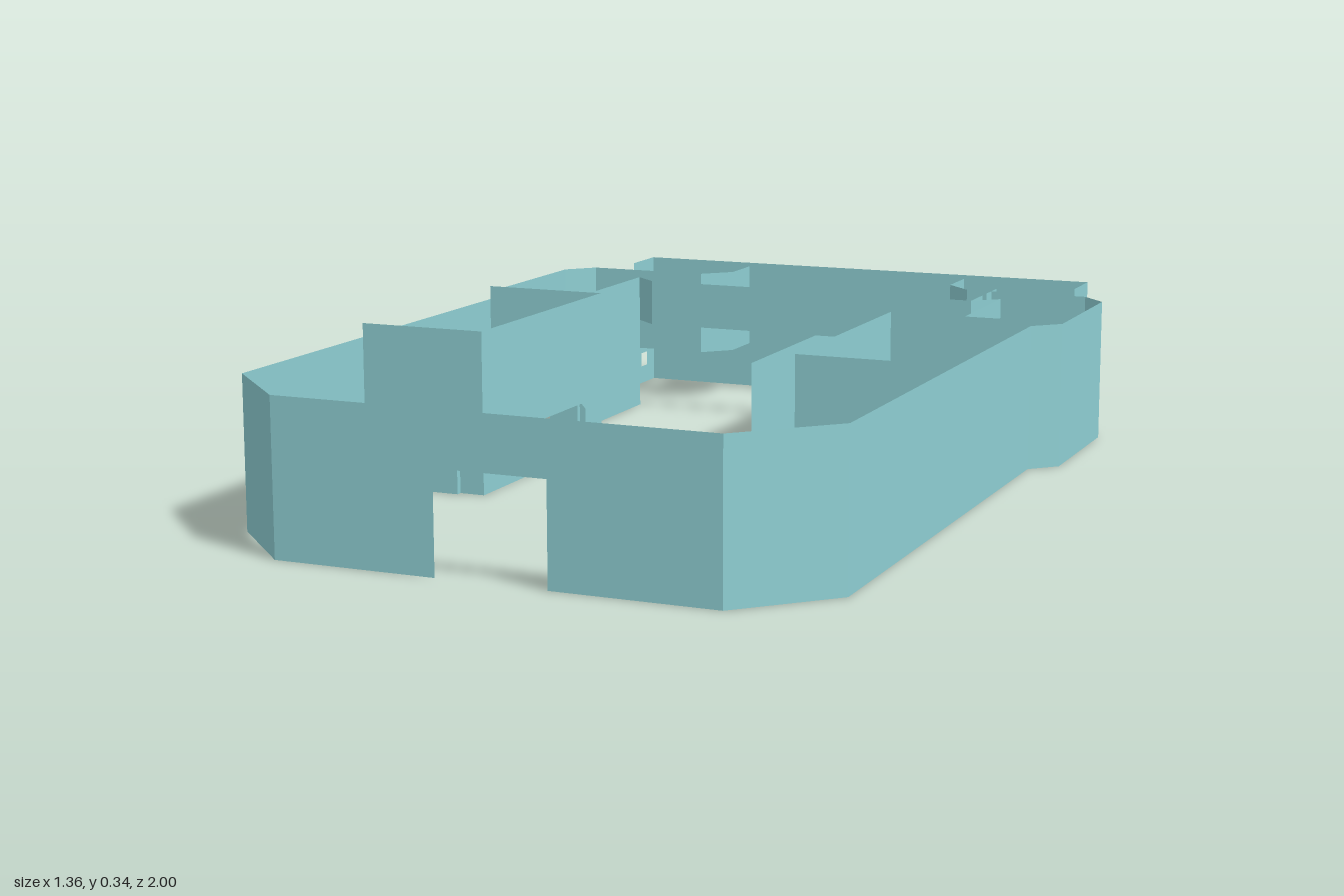
import * as THREE from 'three';

const H = 0.315; // wall height
const material = new THREE.MeshStandardMaterial({ color: 0x8fd0d4, side: THREE.DoubleSide, flatShading: true });

// Closed loop of [u, y] points
const loop = (pts, Type = THREE.Path) => new Type(pts.map(p => new THREE.Vector2(p[0], p[1])));
const square = (u, y, r) => loop([[u - r, y - r], [u + r, y - r], [u + r, y + r], [u - r, y + r]]);

function add(parent, name, geometry) {
  const mesh = new THREE.Mesh(geometry, material);
  mesh.name = name;
  parent.add(mesh);
  return mesh;
}

// Upright sheet from plan point a to b; notch = [u0, u1, top] is cut from the bottom edge
function wall(parent, name, a, b, { y0 = 0, y1 = H, notch, holes = [] } = {}) {
  const length = Math.hypot(b[0] - a[0], b[1] - a[1]);
  const bottom = notch
    ? [[0, y0], [notch[0], y0], [notch[0], notch[2]], [notch[1], notch[2]], [notch[1], y0], [length, y0]]
    : [[0, y0], [length, y0]];
  const shape = loop([...bottom, [length, y1], [0, y1]], THREE.Shape);
  shape.holes.push(...holes);
  const geometry = new THREE.ShapeGeometry(shape, 8);
  const p = geometry.attributes.position;
  for (let i = 0; i < p.count; i++) {
    const t = p.getX(i) / length;
    p.setXYZ(i, a[0] + (b[0] - a[0]) * t, p.getY(i), a[1] + (b[1] - a[1]) * t);
  }
  geometry.computeVertexNormals();
  return add(parent, name, geometry);
}

// Connected run of sheets
function run(parent, name, pts, options) {
  for (let i = 0; i + 1 < pts.length; i++) wall(parent, name, pts[i], pts[i + 1], options);
}

// Thick inverted-U clip straddling a bracket arm
function clip(parent, s, z) {
  for (const x of [0.435, 0.5925]) {
    const leg = add(parent, 'clipLeg', new THREE.BoxGeometry(x < 0.5 ? 0.07 : 0.065, 0.13, 0.026));
    leg.position.set(s * x, 0.065, z);
  }
  const bridge = add(parent, 'clipBridge', new THREE.BoxGeometry(0.09, 0.04, 0.016));
  bridge.position.set(s * 0.515, 0.11, z);
}

function createSide(s) {
  const side = new THREE.Group();
  side.name = s > 0 ? 'leftSide' : 'rightSide';
  const m = pts => pts.map(([x, z]) => [s * x, z]);

  // Outer skin: front chamfer, long side, bulge and rear foot
  run(side, 'outerWall', m([[0.455, 1], [0.625, 0.83], [0.625, -0.315], [0.68, -0.37],
    [0.68, -0.71], [0.625, -0.77], [0.57, -0.77]]));

  // Side bracket with a long slot and two clipped arms
  const slot = loop([[0.085, 0.055], [0.105, 0.04], [0.46, 0.04], [0.49, 0.06],
    [0.49, 0.095], [0.47, 0.11], [0.115, 0.11], [0.085, 0.09]]);
  wall(side, 'bracketPanel', ...m([[0.345, 0.37], [0.345, -0.205]]), { y1: 0.345, holes: [slot] });
  for (const z of [0.37, -0.205]) {
    wall(side, 'bracketArm', ...m([[0.345, z], [0.625, z]]), { y1: 0.345, notch: [0.125, 0.215, 0.09] });
    clip(side, s, z);
  }

  // Corner pocket
  wall(side, 'pocketFront', ...m([[0.625, -0.315], [0.51, -0.315]]), { y0: 0.12 });
  run(side, 'pocketWall', m([[0.51, -0.315], [0.455, -0.37], [0.455, -0.66]]));
  wall(side, 'crossBarEnd', ...m([[0.455, -0.66], [0.4, -0.61]]), { y0: 0.21 });

  // Raised rear partition
  wall(side, 'rearPartition', ...m([[0.57, -0.77], [0.34, -0.77]]), { y0: 0.12, holes: [square(0.03, 0.25, 0.015)] });
  run(side, 'rearPartition', m([[0.34, -0.77], [0.28, -0.83], [0.28, -0.94]]), { y0: 0.12 });

  // Return at the end of the rear wall
  wall(side, 'rearReturn', ...m([[0.57, -1], [0.57, -0.88]]), { holes: [square(0.06, 0.06, 0.017)] });
  return side;
}

export function createModel() {
  const model = new THREE.Group();
  model.name = 'tray';

  model.add(createSide(1), createSide(-1));

  // Front and rear walls
  wall(model, 'frontWall', [-0.455, 1], [0.455, 1], { notch: [0.34, 0.57, 0.205] });
  wall(model, 'rearWall', [-0.57, -1], [0.57, -1], { holes: [square(0.52, 0.21, 0.015)] });

  // Cross members and centre divider
  wall(model, 'crossBar', [-0.4, -0.61], [0.4, -0.61], { y0: 0.21 });
  wall(model, 'rearPanel', [-0.28, -0.94], [0.28, -0.94], { y0: 0.12 });
  wall(model, 'centreDivider', [0, -0.26], [0, -0.89], { y1: 0.2 });

  // Short ribs on one side only
  wall(model, 'rib', [0.4, -0.61], [0.4, -0.7], { y0: 0.21 });
  wall(model, 'rib', [0.4, -0.73], [0.4, -0.81], { y0: 0.21 });
  return model;
}
